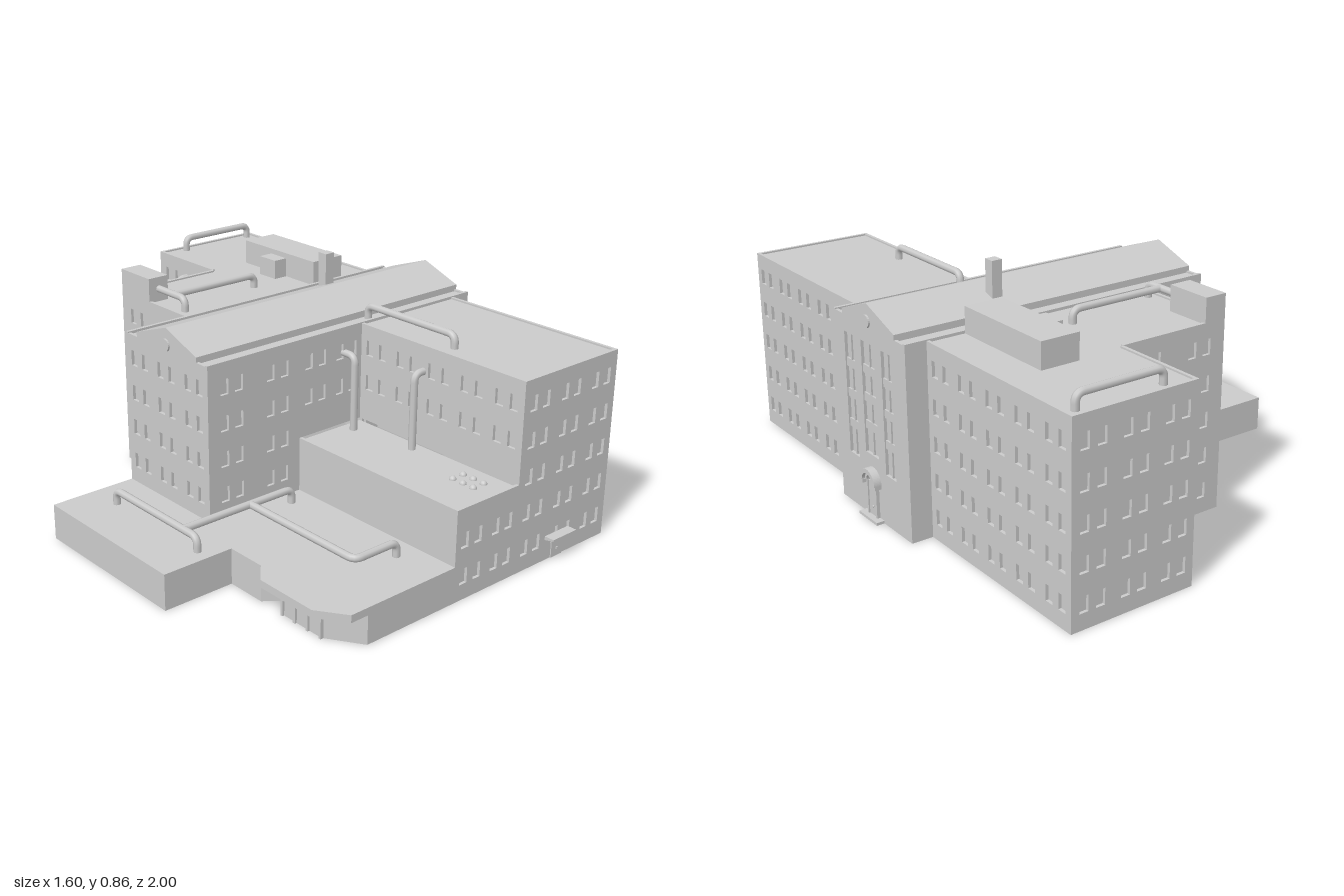
import * as THREE from 'three';

const flat = new THREE.MeshStandardMaterial({ color: 0xcccccc, flatShading: true, side: THREE.DoubleSide });
const smooth = new THREE.MeshStandardMaterial({ color: 0xcccccc, side: THREE.DoubleSide });
const T = 0.012; // wall thickness and window recess
const H = 0.69, MID = 0.33, LOW = 0.13; // roof heights

export function createModel() {
  const root = new THREE.Group();

  function add(name, geo, parent = root, mat = flat) {
    const m = new THREE.Mesh(geo, mat);
    m.name = name;
    parent.add(m);
    return m;
  }
  function box(name, x0, x1, y0, y1, z0, z1) {
    const g = new THREE.BoxGeometry(x1 - x0, y1 - y0, z1 - z0);
    return add(name, g.translate((x0 + x1) / 2, (y0 + y1) / 2, (z0 + z1) / 2));
  }
  // horizontal slab from [x, z] corners, top at y
  function slab(name, pts, y, d) {
    const s = new THREE.Shape(pts.map(([x, z]) => new THREE.Vector2(x, -z)));
    const g = new THREE.ExtrudeGeometry(s, { depth: d, bevelEnabled: false });
    return add(name, g.rotateX(-Math.PI / 2).translate(0, y - d, 0));
  }
  // paired windows on the storey grid, as [centre u, centre y, width, height]
  function windowGrid(len, y0, y1) {
    const list = [], pairs = Math.floor(len / 0.145);
    for (let i = 0; i < 5; i++) {
      const y = 0.085 + 0.13 * i;
      if (y - 0.05 < y0 || y + 0.035 > y1) continue;
      for (let p = 0; p < pairs; p++)
        for (const s of [-1, 1]) list.push([(p + 0.5) * len / pairs + s * 0.031, y, 0.034, 0.056]);
    }
    return list;
  }
  // wall running left to right as seen from outside, with recessed openings
  function wall(name, x1, z1, x2, z2, y0, y1, holes) {
    const len = Math.hypot(x2 - x1, z2 - z1);
    const g = new THREE.Group();
    g.name = name;
    g.position.set(x1, 0, z1);
    g.rotation.y = Math.atan2(z1 - z2, x2 - x1);
    root.add(g);
    const s = new THREE.Shape([[0, y0], [len, y0], [len, y1], [0, y1]].map(p => new THREE.Vector2(...p)));
    for (const [u, y, w, h] of holes ?? windowGrid(len, y0, y1)) {
      const c = [[-1, -1], [-1, 1], [1, 1], [1, -1]].map(([a, b]) => new THREE.Vector2(u + a * w / 2, y + b * h / 2));
      s.holes.push(new THREE.Path(c));
      add('windowPane', new THREE.PlaneGeometry(w, h).translate(u, y, -T + 0.001), g);
    }
    add('wallPanel', new THREE.ExtrudeGeometry(s, { depth: T, bevelEnabled: false }).translate(0, 0, -T), g);
    return g;
  }
  // round duct through [x, y, z] points with rounded elbows
  function duct(name, pts, r = 0.0135) {
    const v = pts.map(p => new THREE.Vector3(...p)), path = new THREE.CurvePath(), bend = 0.03;
    let from = v[0];
    for (let i = 1; i < v.length - 1; i++) {
      const a = v[i].clone().add(v[i - 1].clone().sub(v[i]).setLength(bend));
      const b = v[i].clone().add(v[i + 1].clone().sub(v[i]).setLength(bend));
      path.add(new THREE.LineCurve3(from, a));
      path.add(new THREE.QuadraticBezierCurve3(a, v[i], b));
      from = b;
    }
    path.add(new THREE.LineCurve3(from, v[v.length - 1]));
    add(name, new THREE.TubeGeometry(path, 80, r, 8), root, smooth);
  }
  // duct rising from a roof, crossing it and dropping again
  const archDuct = (name, x1, z1, x2, z2, y, rise) =>
    duct(name, [[x1, y - 0.01, z1], [x1, y + rise, z1], [x2, y + rise, z2], [x2, y - 0.01, z2]]);

  // front wing
  wall('frontWingFront', 0.22, 0.96, 0.69, 0.96, 0, H);
  wall('frontWingRight', 0.69, 0.96, 0.69, 0.21, 0, H);
  wall('frontWingLeft', 0.22, 0.21, 0.22, 0.96, MID, H);
  // rear wing and rear block
  wall('rearWingRight', 0.69, -0.25, 0.69, -1, 0, H);
  wall('rearWingBack', 0.69, -1, 0.22, -1, 0, H);
  wall('rearWingLeft', 0.22, -1, 0.22, -0.65, 0, H);
  wall('rearBlockBack', 0.22, -0.65, -0.21, -0.65, 0, H);
  wall('rearBlockLeft', -0.21, -0.65, -0.21, -0.25, 0, H);
  // central hall
  wall('hallBack', -0.21, -0.25, -0.47, -0.25, 0, H);
  wall('hallLeftEnd', -0.47, -0.25, -0.47, 0.21, LOW, H);
  wall('hallFront', -0.47, 0.21, -0.07, 0.21, LOW, H);
  wall('hallFrontInner', -0.07, 0.21, 0.22, 0.21, MID, H);
  wall('hallReturnFront', 0.69, 0.21, 0.77, 0.21, 0, H, []);
  wall('hallReturnBack', 0.77, -0.25, 0.69, -0.25, 0, H, []);
  // gable end with three tall recessed bays
  const bays = [[0.1, 0.41, 0.065, 0.44], [0.22, 0.43, 0.085, 0.4], [0.34, 0.41, 0.065, 0.44]];
  const gableEnd = wall('hallRightEnd', 0.77, 0.21, 0.77, -0.25, 0, H, bays);
  for (const [u, y, w, h] of bays) {
    for (let i = 1; i < 4; i++)
      add('bayRail', new THREE.BoxGeometry(w, 0.03, 0.007).translate(u, y - h / 2 + i * h / 4, -0.008), gableEnd);
    add('bayMullion', new THREE.BoxGeometry(0.008, h, 0.006).translate(u, y, -0.008), gableEnd);
  }
  // two-storey block
  wall('middleBlockFront', -0.07, 0.96, 0.22, 0.96, 0, MID);
  wall('middleBlockLeft', -0.07, 0.21, -0.07, 0.96, LOW, MID, []);
  // low annex with angled entrance
  const annex = [[-0.47, -0.25], [-0.8, -0.25], [-0.8, 0.4], [-0.53, 0.4], [-0.53, 0.55],
    [-0.47, 0.6], [-0.53, 0.66], [-0.53, 0.84], [-0.45, 0.96], [-0.07, 0.96]];
  for (let i = 0; i < annex.length - 1; i++) wall('annexWall', ...annex[i], ...annex[i + 1], 0, LOW - 0.005, []);
  slab('annexRoof', [[-0.8, -0.25], [-0.8, 0.4], [-0.53, 0.4], [-0.53, 0.55], [-0.45, 0.62], [-0.45, 0.96],
    [-0.07, 0.96], [-0.07, 0.21], [-0.47, 0.21], [-0.47, -0.25]], LOW, 0.008);
  slab('entranceCanopy', [[-0.53, 0.55], [-0.59, 0.62], [-0.59, 0.86], [-0.52, 0.96], [-0.45, 0.96], [-0.45, 0.55]], LOW, 0.027);
  for (let i = 0; i < 4; i++) {
    const z = 0.66 + i * 0.06;
    box('entranceMullion', -0.538, -0.526, 0, 0.105, z - 0.005, z + 0.005);
  }

  // flat roofs set just below the parapet rims
  slab('frontWingRoof', [[0.22, 0.21], [0.22, 0.96], [0.69, 0.96], [0.69, 0.21]].map(([x, z]) => [x, z === 0.96 ? z - 0.005 : z]), H - 0.006, 0.006);
  slab('rearRoof', [[0.22, -0.995], [0.22, -0.645], [-0.205, -0.645], [-0.205, -0.25], [0.685, -0.25], [0.685, -0.995]], H - 0.006, 0.006);
  slab('hallRoof', [[-0.465, -0.245], [-0.465, 0.205], [0.765, 0.205], [0.765, -0.245]], H - 0.006, 0.006);
  slab('middleBlockRoof', [[-0.065, 0.21], [-0.065, 0.955], [0.22, 0.955], [0.22, 0.21]], MID - 0.01, 0.006);
  for (const [z0, z1] of [[-0.25, -0.238], [0.198, 0.21]]) box('hallParapet', -0.47, 0.77, H - 0.01, H + 0.004, z0, z1);

  // gabled roof over the hall
  const gable = new THREE.Shape([[-0.15, H - 0.01], [-0.15, 0.708], [0.015, 0.768], [0.185, 0.708], [0.185, H - 0.01]]
    .map(p => new THREE.Vector2(...p)));
  add('gableRoof', new THREE.ExtrudeGeometry(gable, { depth: 1.24, bevelEnabled: false }).rotateY(Math.PI / 2).translate(-0.47, 0, 0));
  for (const x of [-0.47, 0.77]) {
    add('roundVent', new THREE.CylinderGeometry(0.022, 0.022, 0.014, 20).rotateZ(Math.PI / 2).translate(x, 0.707, -0.015));
  }

  // rooftop housings and chimney
  box('chimney', 0.313, 0.353, 0.7, 0.86, -0.125, -0.085);
  box('plantRoom', 0.4, 0.545, H - 0.01, 0.777, -0.66, -0.25);
  box('plantRoomAnnex', 0.342, 0.4, H - 0.01, 0.757, -0.5, -0.41);
  box('stairHousing', -0.21, -0.125, H - 0.01, 0.777, -0.65, -0.475);
  for (let i = 0; i < 2; i++) for (let j = 0; j < 3; j++)
    add('roofVent', new THREE.SphereGeometry(0.013, 10, 5, 0, Math.PI * 2, 0, Math.PI / 2)
      .translate(0.105 + i * 0.05, MID - 0.01, 0.775 + j * 0.045), root, smooth);

  // ducts
  archDuct('rearWingDuct', 0.325, -0.96, 0.648, -0.96, H, 0.046);
  archDuct('frontWingDuct', 0.288, 0.17, 0.288, 0.59, H, 0.042);
  duct('rearBlockDuct', [[-0.165, 0.732, -0.48], [-0.165, 0.732, -0.315], [-0.165, H - 0.01, -0.315]]);
  duct('rearBlockBranchDuct', [[-0.165, 0.732, -0.38], [0.212, 0.732, -0.38], [0.212, H - 0.01, -0.38]]);
  archDuct('annexDuct', -0.627, -0.115, -0.627, 0.345, LOW, 0.052);
  duct('annexBranchDuct', [[-0.627, 0.182, 0.27], [-0.158, 0.182, 0.27], [-0.158, 0.12, 0.27]]);
  duct('annexFrontDuct', [[-0.343, 0.182, 0.27], [-0.343, 0.182, 0.785], [-0.158, 0.182, 0.785], [-0.158, 0.12, 0.785]]);
  duct('innerCornerDuct', [[0.142, MID - 0.01, 0.26], [0.142, 0.597, 0.26], [0.142, 0.597, 0.2]]);
  duct('middleBlockDuct', [[0.178, MID - 0.01, 0.515], [0.178, 0.597, 0.515], [0.23, 0.597, 0.515]]);
  duct('rearWallDuct', [[0.178, 0, -0.822], [0.178, 0.62, -0.822], [0.23, 0.62, -0.822]]);

  // front door with sloping awning
  box('frontDoor', 0.41, 0.466, 0, 0.065, 0.95, 0.964);
  box('frontDoorKnob', 0.434, 0.442, 0.026, 0.034, 0.96, 0.967);
  const awning = new THREE.Shape([[0.96, 0.078], [0.96, 0.092], [0.998, 0.092], [0.998, 0.086]].map(([z, y]) => new THREE.Vector2(-z, y)));
  add('frontAwning', new THREE.ExtrudeGeometry(awning, { depth: 0.12, bevelEnabled: false }).rotateY(Math.PI / 2).translate(0.375, 0, 0));

  // side door with arched surround and step
  const door = new THREE.Group();
  door.name = 'sideEntrance';
  door.position.set(0.77, 0, -0.012);
  door.rotation.y = Math.PI / 2;
  root.add(door);
  const arch = (r0, r1) => {
    const s = new THREE.Shape();
    s.absarc(0, 0.137, r1, 0, Math.PI, false);
    s.absarc(0, 0.137, r0, Math.PI, 0, true);
    return s;
  };
  const ext = (s, depth) => new THREE.ExtrudeGeometry(s, { depth, bevelEnabled: false, curveSegments: 16 });
  add('archHood', ext(arch(0.034, 0.05), 0.028), door);
  add('archMoulding', ext(arch(0.024, 0.036), 0.016), door);
  for (const s of [-1, 1]) {
    add('archBracket', new THREE.BoxGeometry(0.018, 0.014, 0.026).translate(s * 0.041, 0.131, 0.013), door);
    add('doorJamb', new THREE.BoxGeometry(0.008, 0.137, 0.012).translate(s * 0.028, 0.0685, 0.006), door);
  }
  add('doorLeaf', new THREE.BoxGeometry(0.05, 0.135, 0.008).translate(0, 0.0675, 0.003), door);
  add('doorKnob', new THREE.SphereGeometry(0.004, 8, 6).translate(0.004, 0.045, 0.009), door, smooth);
  add('doorStep', new THREE.BoxGeometry(0.118, 0.01, 0.03).translate(0, 0.005, 0.015), door);

  return root;
}
